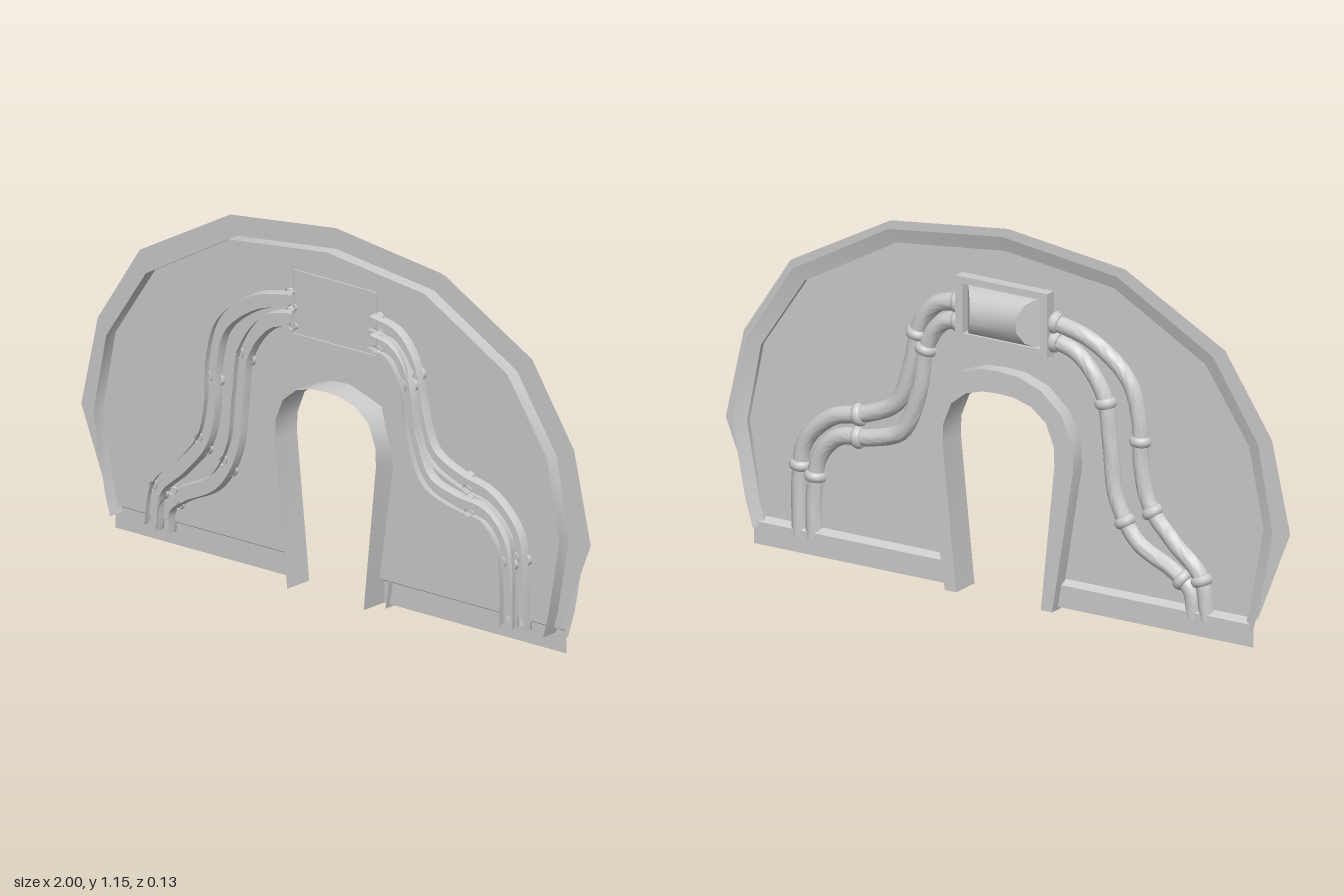
import * as THREE from 'three';
import { toCreasedNormals } from 'three/addons/utils/BufferGeometryUtils.js';

const material = new THREE.MeshStandardMaterial({ color: 0xcccccc, side: THREE.DoubleSide });

// Right half of a profile (bottom to top), mirrored into a full path from +x to -x
const mirror = (half) => [...half, ...half.filter(([x]) => x > 0).reverse().map(([x, y]) => [-x, y])];
const atZ = (path, z) => path.map(([x, y]) => [x, y, z]);

// Skin through rings holding the same number of points
function loft(rings, crease = 0.6, closed = false) {
  const n = rings[0].length, index = [];
  for (let i = 0; i < rings.length - 1; i++) {
    for (let j = 0; j < (closed ? n : n - 1); j++) {
      const a = i * n + j, b = i * n + (j + 1) % n;
      index.push(a, b, a + n, b, b + n, a + n);
    }
  }
  const g = new THREE.BufferGeometry();
  g.setAttribute('position', new THREE.Float32BufferAttribute(rings.flat(2), 3));
  g.setIndex(index);
  return toCreasedNormals(g, crease);
}

const PANEL_Z = 0.017, PIPE_Z = 0.018, PIPE_R = 0.027;

// Half profiles
const panelOutline = mirror([[0.885, 0.092], [1, 0.38], [0.935, 0.665], [0.77, 0.915], [0.415, 1.105], [0, 1.155]]);
const flangeOuter = mirror([[0.885, 0.06], [0.912, 0.15], [0.957, 0.385], [0.905, 0.655], [0.745, 0.9], [0.405, 1.088], [0, 1.138]]);
const rim = mirror([[0.85, 0.07], [0.87, 0.14], [0.915, 0.385], [0.865, 0.635], [0.71, 0.865], [0.385, 1.045], [0, 1.09]]);
const panelHole = mirror([[0.17, 0.092], [0.225, 0.46], [0.178, 0.635], [0, 0.695]]);
const archInner = mirror([[0.15, 0], [0.198, 0.46], [0.196, 0.52], [0.168, 0.59], [0.115, 0.632], [0.055, 0.649], [0, 0.652]]);
const archOuter = mirror([[0.19, 0], [0.265, 0.46], [0.26, 0.54], [0.222, 0.625], [0.15, 0.688], [0.07, 0.717], [0, 0.722]]);

// Open-backed pipe swept along a path in the wall plane
function pipe(points, collars) {
  const group = new THREE.Group();
  const curve = new THREE.CatmullRomCurve3(points.map(([x, y]) => new THREE.Vector3(x, y, 0)));
  const section = [[PIPE_R - 0.006, 0.043]];
  for (let k = 0; k <= 10; k++) {
    const a = Math.PI * k / 10;
    section.push([PIPE_R * Math.cos(a), PIPE_Z - PIPE_R * Math.sin(a)]);
  }
  section.push([0.006 - PIPE_R, 0.043]);
  const rings = [];
  for (let i = 0; i <= 48; i++) {
    const p = curve.getPointAt(i / 48), t = curve.getTangentAt(i / 48);
    rings.push(section.map(([u, z]) => [p.x - t.y * u, p.y + t.x * u, z]));
  }
  const tube = new THREE.Mesh(loft(rings, 1.2), material);
  tube.name = 'pipeTube';
  group.add(tube);
  // Rounded joint collars
  for (const s of collars) {
    const p = curve.getPointAt(s), t = curve.getTangentAt(s);
    const collar = new THREE.Mesh(new THREE.TorusGeometry(PIPE_R - 0.002, 0.012, 8, 16, Math.PI * 1.2).rotateZ(-Math.PI * 0.1).scale(1, 1, 1.4), material);
    collar.quaternion.setFromRotationMatrix(new THREE.Matrix4().makeBasis(
      new THREE.Vector3(-t.y, t.x, 0), new THREE.Vector3(0, 0, -1), t.clone().negate()));
    collar.position.set(p.x, p.y, PIPE_Z);
    collar.name = 'pipeCollar';
    group.add(collar);
  }
  return group;
}

export function createModel() {
  const model = new THREE.Group();
  const add = (name, geometry) => {
    const mesh = new THREE.Mesh(geometry, material);
    mesh.name = name;
    model.add(mesh);
  };

  // Flat wall panel with the doorway cut out
  const outline = [...panelOutline, ...[...panelHole].reverse()];
  const shape = new THREE.Shape(outline.map(([x, y]) => new THREE.Vector2(x, y)));
  add('wallPanel', new THREE.ShapeGeometry(shape).translate(0, 0, PANEL_Z));

  // Rim band standing through the panel, with a flared flange behind it
  add('rimBand', loft([atZ(rim, 0.06), atZ(rim, 0.002)], 1.2));
  add('outerFlange', loft([atZ(rim, 0.002), atZ(flangeOuter, -0.013)], 0.3));

  // Sloping ledge and skirt at the foot of each side
  for (const s of [1, -1]) {
    add('footSkirt', loft([
      [[s * 0.17, 0.094, PANEL_Z], [s * 0.885, 0.094, PANEL_Z]],
      [[s * 0.17, 0.08, -0.006], [s * 0.885, 0.08, -0.006]],
      [[s * 0.17, 0.01, -0.006], [s * 0.885, 0.01, -0.006]],
    ], 0.3));
  }

  // Hollow doorway surround: tunnel, face and outer wall
  add('doorwayTrim', loft([
    atZ(archInner, 0.065), atZ(archInner, -0.035), atZ(archOuter, -0.035), atZ(archOuter, 0.013),
  ]));

  // Junction box frame with a recessed floor
  const rect = (w, h, z) => [[w, 0.89 - h, z], [w, 0.89 + h, z], [-w, 0.89 + h, z], [-w, 0.89 - h, z]];
  add('boxFrame', loft([
    rect(0.163, 0.1, 0.023), rect(0.163, 0.1, -0.02), rect(0.138, 0.078, -0.02), rect(0.138, 0.078, 0.005),
  ], 0.3, true));
  add('boxFloor', new THREE.PlaneGeometry(0.276, 0.156).rotateY(Math.PI).translate(0, 0.89, 0.005));

  // Domed cover with slanted ends
  const dome = [[0.816, 0.005], [0.816, -0.02], [0.83, -0.044], [0.867, -0.066], [0.912, -0.066], [0.95, -0.044], [0.962, -0.02], [0.962, 0.005]];
  const end = (s) => dome.map(([y, z]) => [s * (0.135 + (z - 0.005) * 0.75), y, z]);
  const hub = (s) => dome.map(() => [s * 0.135, 0.89, 0.005]);
  add('boxCover', loft([hub(-1), end(-1), end(1), hub(1)], 0.75));

  // Pipes running from the box down to the floor on each side
  const pipes = {
    rightOuterPipe: [[[-0.15, 0.898], [-0.3, 0.86], [-0.43, 0.76], [-0.468, 0.64], [-0.475, 0.5], [-0.505, 0.38],
      [-0.59, 0.28], [-0.685, 0.19], [-0.71, 0.06]], [0.02, 0.46, 0.66, 0.89]],
    rightInnerPipe: [[[-0.15, 0.84], [-0.25, 0.81], [-0.34, 0.7], [-0.365, 0.55], [-0.388, 0.38], [-0.46, 0.26],
      [-0.59, 0.19], [-0.65, 0.14], [-0.662, 0.06]], [0.02, 0.27, 0.63, 0.88]],
    leftOuterPipe: [[[0.15, 0.898], [0.25, 0.875], [0.31, 0.8], [0.337, 0.68], [0.39, 0.54], [0.5, 0.482],
      [0.62, 0.45], [0.715, 0.36], [0.735, 0.25], [0.735, 0.06]], [0.02, 0.2, 0.54, 0.81]],
    leftInnerPipe: [[[0.15, 0.84], [0.23, 0.82], [0.285, 0.74], [0.315, 0.58], [0.375, 0.45], [0.48, 0.41],
      [0.6, 0.39], [0.665, 0.32], [0.685, 0.2], [0.685, 0.06]], [0.02, 0.18, 0.6, 0.82]],
  };
  for (const [name, [path, collars]] of Object.entries(pipes)) {
    const p = pipe(path, collars);
    p.name = name;
    model.add(p);
  }
  return model;
}
